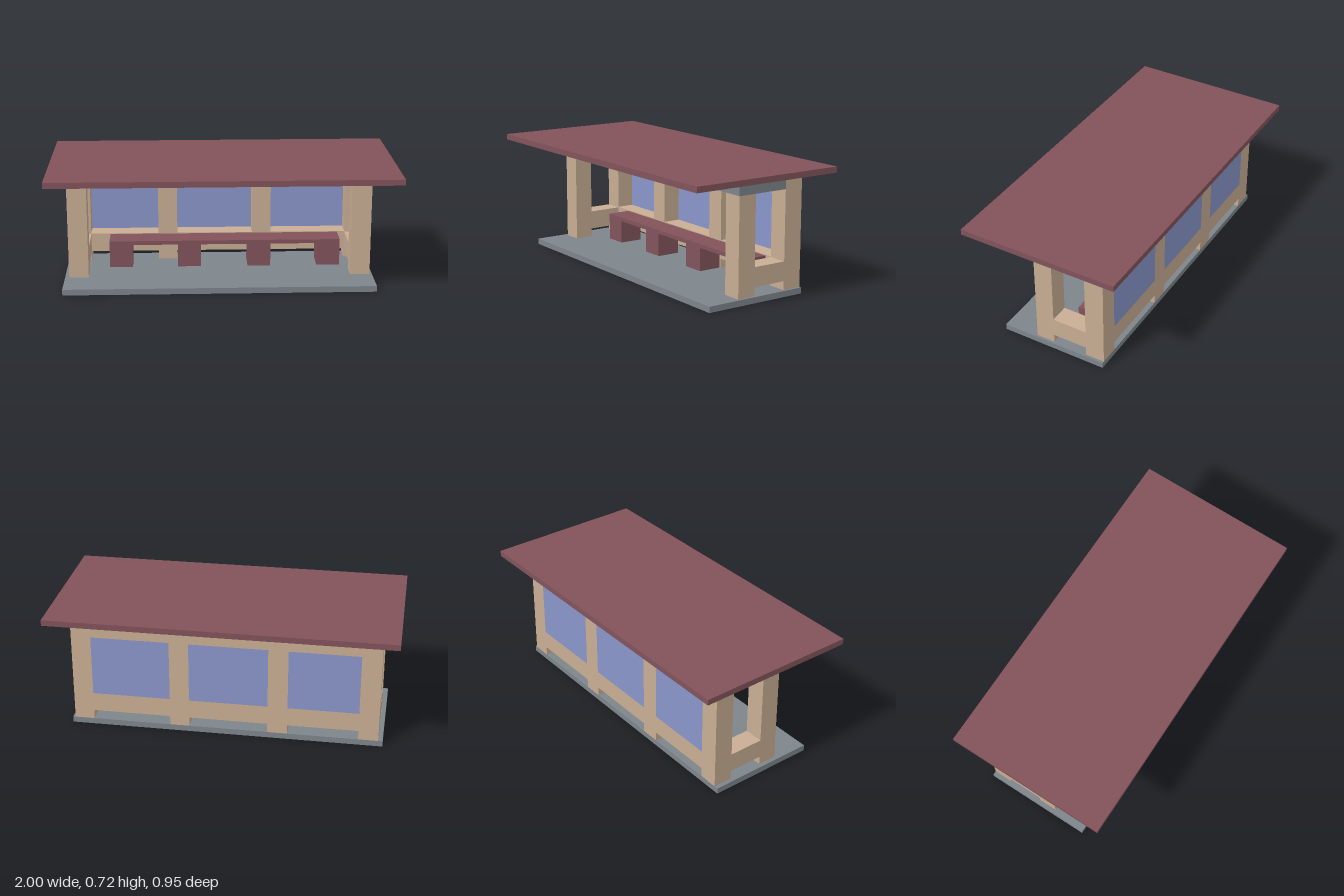
import * as THREE from 'three';

const mat = (name, color) => {
  const m = new THREE.MeshStandardMaterial({ color });
  m.name = name;
  return m;
};

export function createModel() {
  const model = new THREE.Group();
  model.name = 'shelter';
  const maroon = mat('maroon', 0x82535b);
  const tan = mat('tan', 0xc9ae94);
  const grey = mat('grey', 0x7d858c);
  const blue = mat('blueGlass', 0x8a96ca);

  // Box given by its extents along each axis
  const box = (name, material, [x0, x1], [y0, y1], [z0, z1]) => {
    const mesh = new THREE.Mesh(new THREE.BoxGeometry(x1 - x0, y1 - y0, z1 - z0), material);
    mesh.position.set((x0 + x1) / 2, (y0 + y1) / 2, (z0 + z1) / 2);
    mesh.name = name;
    model.add(mesh);
  };

  const floor = 0.035, beamBottom = 0.605, roofBottom = 0.688;
  const frontZ = [-0.012, 0.1], sideZ = [-0.22, -0.012], rearZ = [-0.335, -0.22];
  const posts = [[-0.905, -0.79], [-0.38, -0.265], [0.192, 0.305], [0.76, 0.875]];
  const ends = [posts[0], posts[3]];

  // Floor slab and flat roof
  box('floorSlab', grey, [-0.93, 0.89], [0, floor], [-0.335, 0.305]);
  box('roof', maroon, [-1, 1], [roofBottom, 0.722], [-0.476, 0.476]);

  // Front posts, side rails and side beams at each end
  for (const x of ends) {
    box('frontPost', tan, x, [floor, beamBottom], frontZ);
    box('sideRail', tan, x, [0.086, 0.199], sideZ);
    box('sideBeam', grey, x, [beamBottom, roofBottom], sideZ);
  }
  box('frontBeam', grey, [-0.905, 0.875], [beamBottom, roofBottom], frontZ);

  // Rear wall: posts with rails and window panes between them
  for (const x of posts) box('rearPost', tan, x, [floor, roofBottom], rearZ);
  for (let i = 0; i < 3; i++) {
    const x = [posts[i][1], posts[i + 1][0]];
    box('lowerRail', tan, x, [0.09, 0.203], rearZ);
    box('upperRail', tan, x, [0.565, 0.668], rearZ);
    box('windowPane', blue, x, [0.203, 0.565], [-0.335, -0.327]);
  }

  // Bench with four block legs
  const benchZ = [-0.22, -0.076];
  box('benchSeat', maroon, [-0.673, 0.715], [0.174, 0.198], benchZ);
  for (const x of [-0.673, -0.262, 0.158, 0.577]) {
    box('benchLeg', maroon, [x, x + 0.138], [floor, 0.174], benchZ);
  }

  return model;
}
